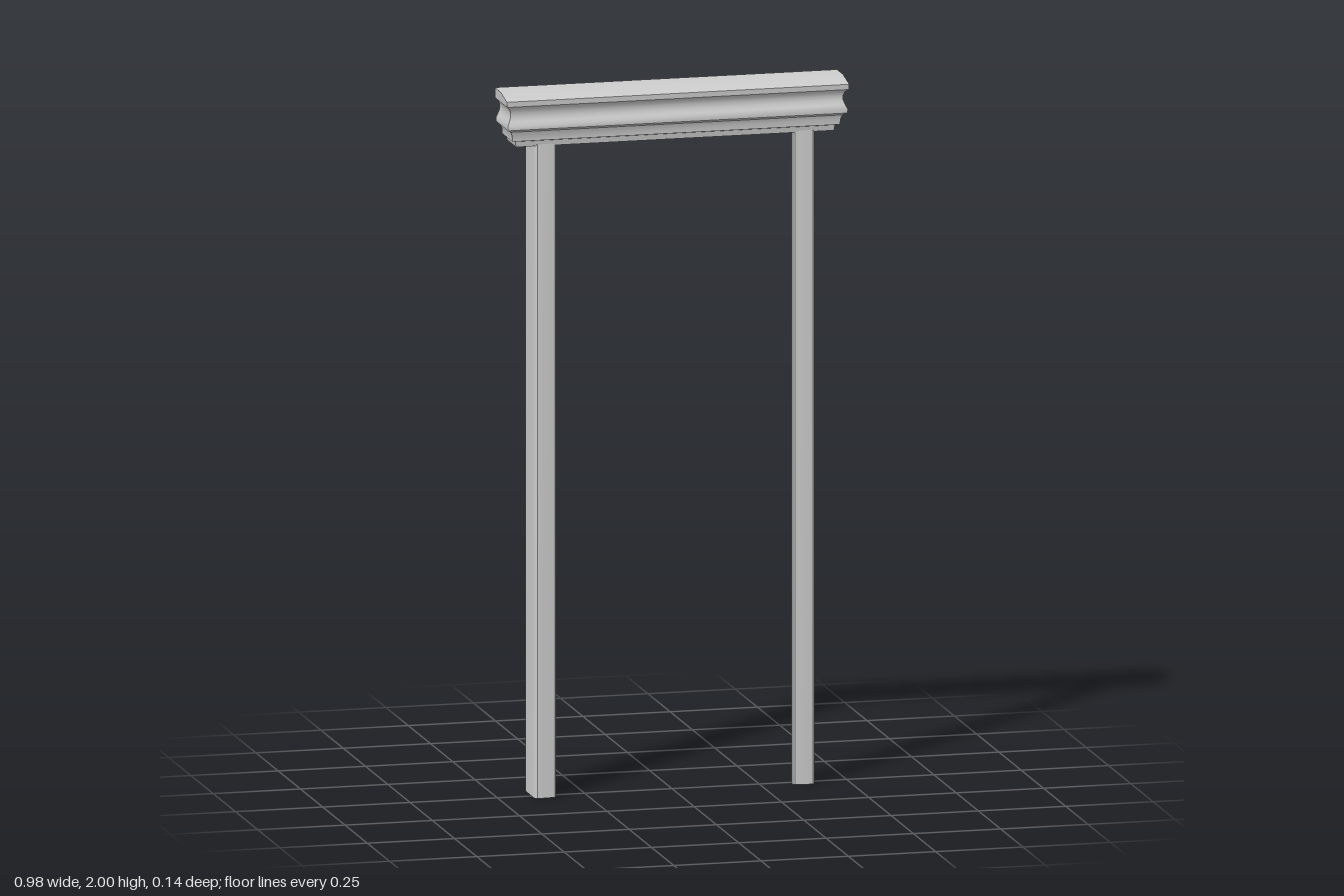
import * as THREE from 'three';
import { toCreasedNormals } from 'three/addons/utils/BufferGeometryUtils.js';

const BACK = -0.068;   // plane against the wall
const WALL_X = 0.402;  // outer face of each jamb

const material = new THREE.MeshStandardMaterial({ color: 0xcccccc, side: THREE.DoubleSide });

// Surface through rows of [x, y, z] points; normals face (row step) x (column step)
function loft(rows, crease = 0.6) {
  const n = rows[0].length, index = [];
  for (let i = 0; i < rows.length - 1; i++) {
    for (let j = 0; j < n - 1; j++) {
      const a = i * n + j, b = a + n;
      index.push(a, b, b + 1, a, b + 1, a + 1);
    }
  }
  const geo = new THREE.BufferGeometry();
  geo.setAttribute('position', new THREE.Float32BufferAttribute(rows.flat(2), 3));
  geo.setIndex(index);
  return toCreasedNormals(geo, crease);
}

function add(group, name, geo) {
  const mesh = new THREE.Mesh(geo, material);
  mesh.name = name;
  group.add(mesh);
}

// Cornice profile: [projection, height] from bottom to top
const base = { x: 0.455, z: 0.034 };
const profile = [
  [0, 1.85], [0.003, 1.866], [0.014, 1.869], [0.015, 1.885], [0.02, 1.897],
  [0.031, 1.904], [0.032, 1.915], [0.026, 1.927], [0.021, 1.94], [0.021, 1.952],
  [0.025, 1.963], [0.034, 1.971], [0.035, 1.986],
];
const reach = profile[profile.length - 1][0];

function createCornice() {
  const group = new THREE.Group();
  group.name = 'cornice';

  // Moulding mitred round the front and both ends
  const ring = (side, z, top) => profile.map(([d, y], i) => [
    side * (base.x + d),
    i === profile.length - 1 ? top : y,
    z === null ? base.z + d : z,
  ]);
  add(group, 'moulding', loft([
    ring(-1, BACK, 2), ring(-1, 0, 2), ring(-1, null, 1.986),
    ring(1, null, 1.986), ring(1, 0, 2), ring(1, BACK, 2),
  ]));

  // Top board, sloping down towards the front edge
  const x = base.x + reach;
  add(group, 'topBoard', loft(
    [[1.986, base.z + reach], [2, 0], [2, BACK]].map(([y, z]) => [[-x, y, z], [x, y, z]]), 0.3));

  for (const s of [-1, 1]) {
    // Flat back closing each end, cut to the moulding profile
    const shape = new THREE.Shape();
    shape.moveTo(s * WALL_X, 1.85);
    profile.slice(0, -1).forEach(([d, y]) => shape.lineTo(s * (base.x + d), y));
    shape.lineTo(s * x, 2);
    shape.lineTo(s * WALL_X, 2);
    const plate = new THREE.ShapeGeometry(shape);
    plate.rotateY(Math.PI); // faces the back; the sides swap
    plate.translate(0, 0, BACK);
    add(group, 'endBack', plate);

    // Underside of each overhanging end
    const soffit = new THREE.PlaneGeometry(base.x - WALL_X, base.z - BACK);
    soffit.rotateX(Math.PI / 2);
    soffit.translate(s * (base.x + WALL_X) / 2, 1.85, (base.z + BACK) / 2);
    add(group, 'endSoffit', soffit);

    // Jamb side carried up inside the cornice
    const cheek = new THREE.PlaneGeometry(base.z - BACK, 0.14);
    cheek.rotateY(-s * Math.PI / 2);
    cheek.translate(s * WALL_X, 1.92, (base.z + BACK) / 2);
    add(group, 'innerCheek', cheek);
  }
  return group;
}

// Jamb section in x, z: inner lip, moulded face, rounded corner, deep outer side
const section = [
  [0.339, 0.015], [0.339, 0.028], [0.344, 0.034], [0.388, 0.038],
  [0.395, 0.037], [0.4, 0.031], [WALL_X, 0.024], [WALL_X, BACK],
];

function createJamb(side) {
  const pts = side > 0 ? section : [...section].reverse();
  const rows = pts.map(([x, z]) => [0, 1.855].map((y) => [side * x, y, z]));
  const group = new THREE.Group();
  group.name = side > 0 ? 'leftJamb' : 'rightJamb';
  add(group, 'jambCasing', loft(rows));
  return group;
}

export function createModel() {
  const model = new THREE.Group();
  model.name = 'doorSurround';
  model.add(createCornice(), createJamb(1), createJamb(-1));
  return model;
}
